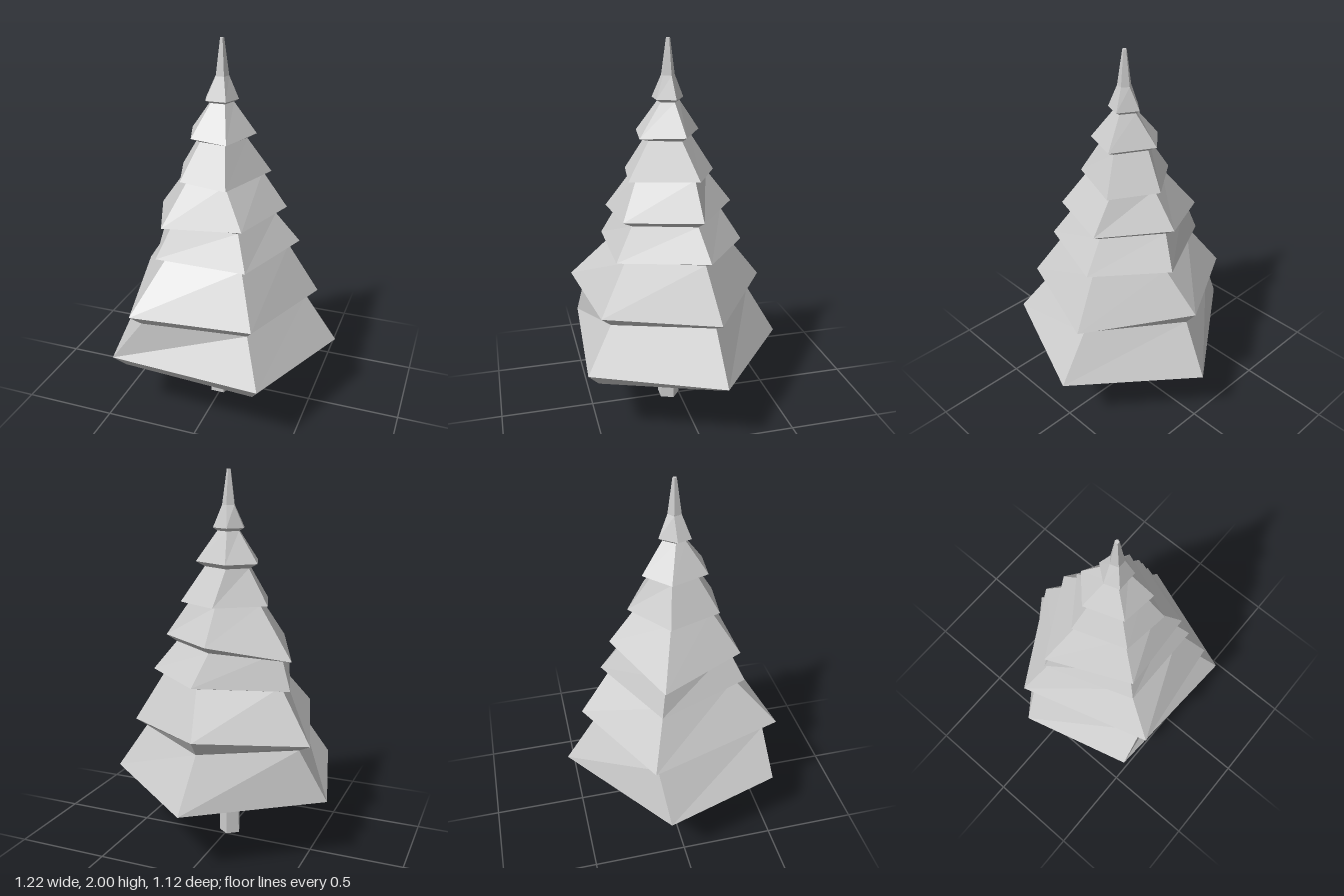
import * as THREE from 'three';

// Each tier's rim: five [x, y, z] corners (back, right, front right, front left, left),
// the height of its underside and how far the underside is drawn in.
const TIERS = [
  { under: 0.32, inset: 0.89, rim: [[0.02, 0.34, -0.56], [0.61, 0.36, -0.1], [0.36, 0.39, 0.56], [-0.45, 0.385, 0.51], [-0.61, 0.34, -0.1]] },
  { under: 0.615, inset: 0.88, rim: [[-0.01, 0.694, -0.46], [0.495, 0.65, -0.1], [0.3, 0.668, 0.475], [-0.32, 0.675, 0.55], [-0.53, 0.65, -0.165]] },
  { under: 0.92, inset: 0.86, rim: [[0.045, 0.935, -0.335], [0.39, 0.943, -0.07], [0.235, 0.935, 0.38], [-0.24, 0.938, 0.38], [-0.4, 0.905, -0.1]] },
  { under: 1.1, inset: 0.83, rim: [[-0.01, 1.138, -0.29], [0.32, 1.135, -0.05], [0.2, 1.13, 0.335], [-0.215, 1.1, 0.355], [-0.4, 1.055, -0.085]] },
  { under: 1.32, inset: 0.82, rim: [[-0.01, 1.32, -0.19], [0.23, 1.32, -0.055], [0.1, 1.31, 0.285], [-0.15, 1.32, 0.255], [-0.245, 1.32, -0.02]] },
  { under: 1.505, inset: 0.72, rim: [[-0.05, 1.53, -0.12], [0.165, 1.53, 0], [0.08, 1.52, 0.22], [-0.11, 1.53, 0.2], [-0.18, 1.53, 0]] },
  { under: 1.69, inset: 0.7, rim: [[-0.02, 1.705, -0.03], [0.08, 1.705, 0.03], [0.045, 1.705, 0.125], [-0.06, 1.705, 0.125], [-0.085, 1.705, 0.05]] },
];

// Underside corners: the rim drawn towards the trunk axis at one height
const undersideOf = ({ rim, under, inset }) =>
  rim.map(([x, , z]) => [x * inset, under, 0.04 + (z - 0.04) * inset]);

// Regular pentagon with one corner to the back
const pentagon = (r, y, z) => Array.from({ length: 5 }, (_, i) => {
  const a = (i / 5) * Math.PI * 2;
  return [r * Math.sin(a), y, z - r * Math.cos(a)];
});

// Faceted skin over a stack of five-cornered rings, closed at both ends
function loft(rings) {
  const p = [];
  const cap = (ring, up) => {
    const c = [0, 1, 2].map((k) => ring.reduce((s, v) => s + v[k], 0) / 5);
    ring.forEach((a, i) => {
      const b = ring[(i + 1) % 5];
      p.push(...c, ...(up ? b : a), ...(up ? a : b));
    });
  };
  cap(rings[0], false);
  for (let r = 0; r < rings.length - 1; r++) {
    for (let i = 0; i < 5; i++) {
      const j = (i + 1) % 5;
      const a = rings[r][i], b = rings[r][j], A = rings[r + 1][i], B = rings[r + 1][j];
      p.push(...a, ...A, ...b, ...b, ...A, ...B);
    }
  }
  cap(rings[rings.length - 1], true);
  const g = new THREE.BufferGeometry();
  g.setAttribute('position', new THREE.Float32BufferAttribute(p, 3));
  g.computeVertexNormals();
  return g;
}

export function createModel() {
  const tree = new THREE.Group();
  tree.name = 'pineTree';
  const grey = new THREE.MeshStandardMaterial({ color: 0xcccccc });
  grey.name = 'light grey';

  // Foliage: every tier rises from its underside, over its rim, to the next underside
  const foliage = new THREE.Group();
  foliage.name = 'foliage';
  TIERS.forEach((tier, n) => {
    const top = n < TIERS.length - 1
      ? [undersideOf(TIERS[n + 1])]
      : [pentagon(0.036, 1.82, 0.055), pentagon(0.011, 2, 0.053)]; // slender tip
    const mesh = new THREE.Mesh(loft([undersideOf(tier), tier.rim, ...top]), grey);
    mesh.name = n < TIERS.length - 1 ? `branchTier${n + 1}` : 'treeTip';
    foliage.add(mesh);
  });
  tree.add(foliage);

  // Five-sided trunk, slightly tapered
  const trunkShape = loft([pentagon(0.062, 0, 0.06), pentagon(0.055, 0.34, 0.06)]);
  trunkShape.translate(-0.01, 0, 0);
  const trunk = new THREE.Mesh(trunkShape, grey);
  trunk.name = 'trunk';
  tree.add(trunk);
  return tree;
}
